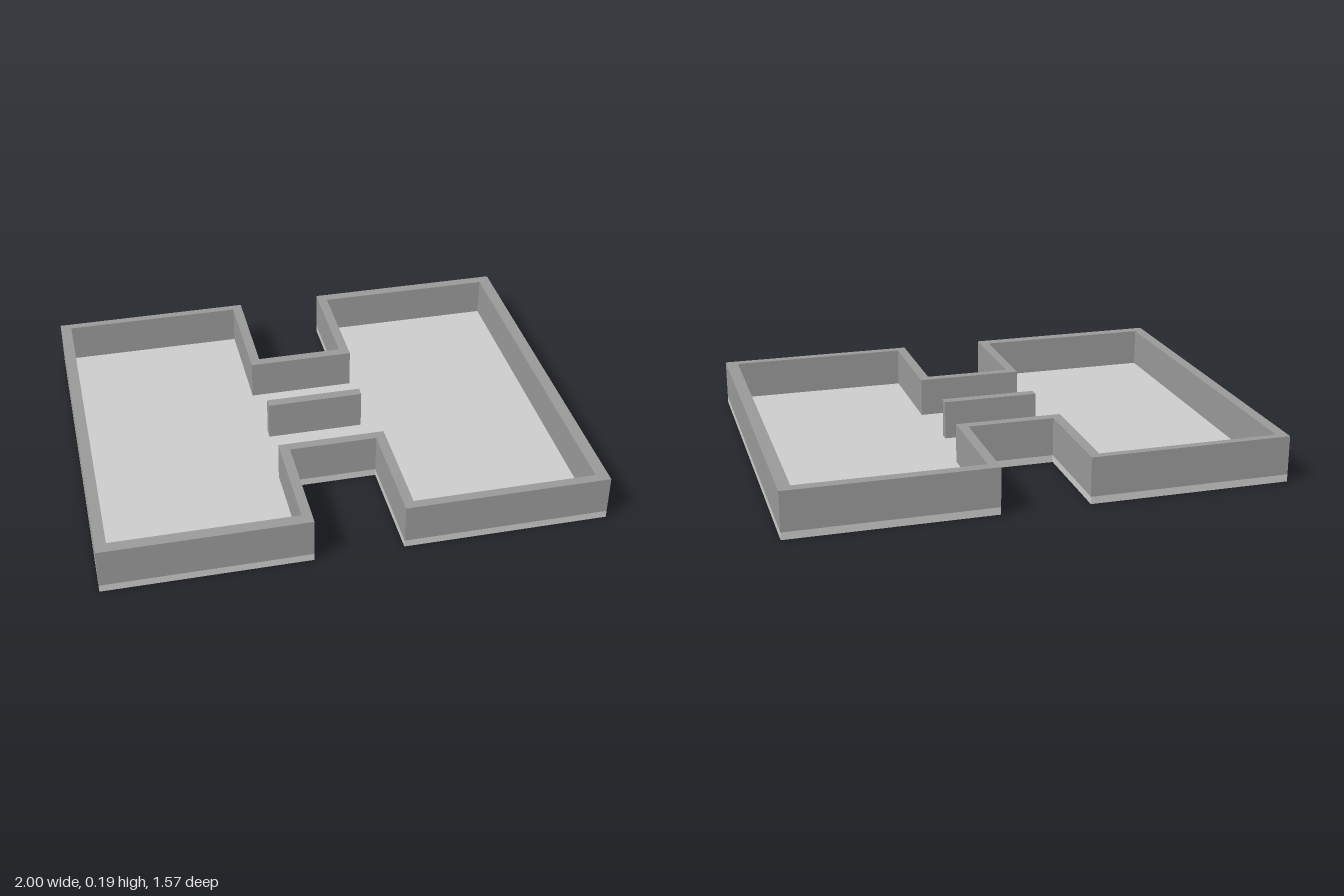
import * as THREE from 'three';

const FLOOR_TOP = 0.03;
const WALL_TOP = 0.19;

// H-shaped plan: outer edges, notch edges, and z limits of each half
function planPoints({ xl, xr, nl, nr, backL, backR, frontL, frontR, notchB, notchF }) {
  return [
    [xl, frontL], [nl, frontL], [nl, notchF], [nr, notchF], [nr, frontR], [xr, frontR],
    [xr, backR], [nr, backR], [nr, notchB], [nl, notchB], [nl, backL], [xl, backL],
  ].map(([x, z]) => new THREE.Vector2(x, -z));
}

// Extrude a plan shape upwards from y0 to y1
function extrudeUp(shape, y0, y1) {
  const geo = new THREE.ExtrudeGeometry(shape, { depth: y1 - y0, bevelEnabled: false });
  geo.rotateX(-Math.PI / 2);
  geo.translate(0, y0, 0);
  return geo;
}

export function createModel() {
  const group = new THREE.Group();
  const floorMat = new THREE.MeshStandardMaterial({ color: 0xcccccc });
  const wallMat = new THREE.MeshStandardMaterial({ color: 0x999999 });

  const add = (name, geo, mat) => {
    const mesh = new THREE.Mesh(geo, mat);
    mesh.name = name;
    group.add(mesh);
    return mesh;
  };

  const outer = planPoints({
    xl: -1, xr: 1, nl: -0.18, nr: 0.175,
    backL: -0.785, backR: -0.785, frontL: 0.785, frontR: 0.785, notchB: -0.33, notchF: 0.33,
  });
  const inner = planPoints({
    xl: -0.955, xr: 0.95, nl: -0.22, nr: 0.215,
    backL: -0.753, backR: -0.742, frontL: 0.737, frontR: 0.747, notchB: -0.29, notchF: 0.292,
  });

  // Floor slab
  add('floor', extrudeUp(new THREE.Shape(outer), 0, FLOOR_TOP), floorMat);

  // Perimeter walls standing on the slab
  const ring = new THREE.Shape(outer);
  ring.holes.push(new THREE.Path(inner));
  add('outerWalls', extrudeUp(ring, FLOOR_TOP, WALL_TOP), wallMat);

  // Short partition in the middle of the passage
  const height = WALL_TOP - FLOOR_TOP;
  const partition = add('partitionWall', new THREE.BoxGeometry(0.395, height, 0.04), wallMat);
  partition.position.set(-0.008, FLOOR_TOP + height / 2, 0);

  return group;
}
